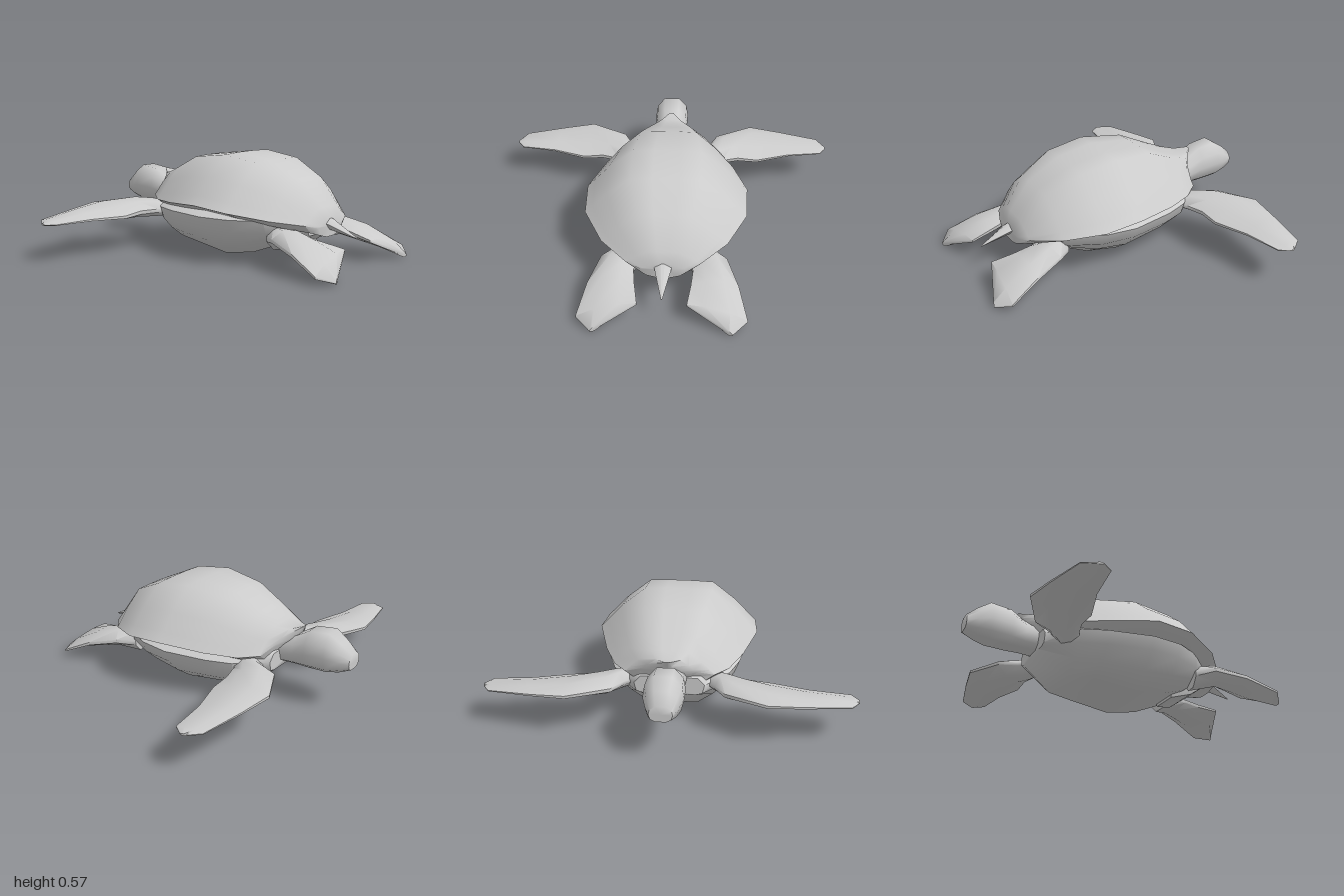
import * as THREE from 'three';
import { toCreasedNormals } from 'three/addons/utils/BufferGeometryUtils.js';

// Skin a list of equal-length rings of [x, y, z], cap both ends, face outwards
function loft(rings, crease = 0.9) {
  const n = rings[0].length, pos = rings.flat(2), tris = [];
  for (let i = 0; i < rings.length - 1; i++) {
    for (let j = 0; j < n; j++) {
      const k = (j + 1) % n, a = i * n, b = a + n;
      tris.push([a + j, a + k, b + j], [a + k, b + k, b + j]);
    }
  }
  [0, rings.length - 1].forEach((r, end) => {
    const c = pos.length / 3;
    for (let d = 0; d < 3; d++) pos.push(rings[r].reduce((s, p) => s + p[d], 0) / n);
    for (let j = 0; j < n; j++) {
      const p = r * n + j, q = r * n + (j + 1) % n;
      tris.push(end ? [c, p, q] : [c, q, p]);
    }
  });
  const at = (i) => new THREE.Vector3().fromArray(pos, i * 3);
  const volume = tris.reduce((s, [a, b, c]) => s + at(a).dot(at(b).cross(at(c))), 0);
  if (volume < 0) tris.forEach((t) => t.reverse());
  const geo = new THREE.BufferGeometry();
  geo.setAttribute('position', new THREE.Float32BufferAttribute(pos, 3));
  geo.setIndex(tris.flat());
  return toCreasedNormals(geo, crease);
}

// Mirror a half section of [z, y] points (top to bottom) into a full ring at x;
// lean shifts points in x in proportion to their height
function mirrorRing(x, half, lean = 0) {
  const y0 = half[0][1];
  const side = (s) => half.map(([z, y]) => [x + lean * (y0 - y), y, s * z]);
  return [...side(1), ...side(-1).reverse()];
}

// Flipper from stations [leadX, leadY, leadZ, trailX, trailY, trailZ, thickness]
function flipper(stations, s) {
  return loft(stations.map(([lx, ly, lz, tx, ty, tz, th]) => {
    const p = (t, h) => [lx + (tx - lx) * t, ly + (ty - ly) * t + h * th / 2, s * (lz + (tz - lz) * t)];
    return [p(0, 0.2), p(0.3, 1), p(0.7, 0.9), p(1, 0.2), p(1, -0.2), p(0.7, -0.9), p(0.3, -1), p(0, -0.2)];
  }), 1.0);
}

export function createModel() {
  const turtle = new THREE.Group();
  turtle.name = 'turtle';
  const material = new THREE.MeshStandardMaterial({ color: 0xcccccc, side: THREE.DoubleSide });
  const add = (name, geo) => {
    const mesh = new THREE.Mesh(geo, material);
    mesh.name = name;
    turtle.add(mesh);
  };

  // Domed shell: x, top height, rim height, rim half width
  const shell = [
    [-0.6, 0.43, 0.36, 0.03], [-0.54, 0.415, 0.325, 0.15], [-0.47, 0.43, 0.3, 0.24],
    [-0.37, 0.47, 0.29, 0.315], [-0.2, 0.548, 0.3, 0.39], [0.05, 0.578, 0.32, 0.465],
    [0.27, 0.545, 0.3, 0.455], [0.47, 0.45, 0.265, 0.345], [0.6, 0.31, 0.235, 0.2],
    [0.63, 0.25, 0.215, 0.12],
  ];
  add('shell', loft(shell.map(([x, top, rim, w]) => {
    const h = top - rim;
    return mirrorRing(x, [
      [w * 0.16, top], [w * 0.42, top - h * 0.02], [w * 0.72, rim + h * 0.54],
      [w * 0.9, rim + h * 0.19], [w, rim], [w * 0.75, rim - 0.045], [w * 0.3, rim - 0.06],
    ], x < -0.5 ? 0.5 : 0);
  }), 0.95));

  // Belly: x, bottom height, bottom half width, side half width
  const belly = [
    [-0.5, 0.19, 0.1, 0.19], [-0.34, 0.05, 0.14, 0.32], [-0.2, 0.045, 0.18, 0.37],
    [0.05, 0.01, 0.19, 0.415], [0.23, 0.035, 0.17, 0.39], [0.4, 0.1, 0.13, 0.3],
    [0.54, 0.2, 0.09, 0.19],
  ];
  add('belly', loft(belly.map(([x, y, b, w]) => mirrorRing(x, [
    [w * 0.8, 0.29], [w, 0.25], [w * 0.93, Math.max(0.18, y + 0.01)],
    [(b + w) / 2, y + (0.19 - y) * 0.45], [b, y],
  ]))));

  // Head and neck: x, bottom, top, half width
  const head = [
    [-0.9, 0.26, 0.345, 0.06], [-0.84, 0.235, 0.395, 0.085], [-0.77, 0.218, 0.44, 0.105],
    [-0.65, 0.212, 0.425, 0.102], [-0.57, 0.21, 0.375, 0.09], [-0.4, 0.2, 0.36, 0.1],
  ];
  add('head', loft(head.map(([x, b, t, w]) => mirrorRing(x, [
    [w * 0.45, t], [w * 0.9, t - (t - b) * 0.25], [w, b + (t - b) * 0.45], [w * 0.85, b + (t - b) * 0.14], [w * 0.45, b],
  ])), 1.1));

  // Hindquarters under the shell
  const hind = [[0.34, 0.06, 0.17, 0.1], [0.45, 0.085, 0.21, 0.145], [0.56, 0.16, 0.235, 0.12]];
  add('hindquarters', loft(hind.map(([x, b, t, w]) => mirrorRing(x, [[w * 0.8, t], [w, (t + b) / 2], [w * 0.85, b]]))));

  // Tail
  const tail = [[0.55, 0.2, 0.265, 0.055], [0.64, 0.19, 0.25, 0.045], [0.8, 0.158, 0.163, 0.003]];
  add('tail', loft(tail.map(([x, b, t, w]) => mirrorRing(x, [[w * 0.2, t], [w, t - (t - b) * 0.4], [w * 0.2, b]]))));

  // Flippers, one pair in front and one behind
  const front = [
    [-0.45, 0.235, 0.2, -0.33, 0.225, 0.26, 0.09],
    [-0.5, 0.24, 0.245, -0.36, 0.225, 0.33, 0.1],
    [-0.6, 0.25, 0.3, -0.39, 0.225, 0.43, 0.1],
    [-0.71, 0.258, 0.52, -0.39, 0.215, 0.55, 0.075],
    [-0.68, 0.245, 0.71, -0.452, 0.22, 0.75, 0.05],
    [-0.63, 0.23, 0.95, -0.48, 0.222, 0.96, 0.025],
    [-0.565, 0.222, 0.995, -0.535, 0.222, 1.0, 0.012],
  ];
  const rear = [
    [0.4, 0.15, 0.27, 0.43, 0.15, 0.1, 0.13],
    [0.49, 0.165, 0.345, 0.59, 0.165, 0.16, 0.1],
    [0.66, 0.125, 0.405, 0.68, 0.145, 0.15, 0.09],
    [0.83, 0.05, 0.45, 0.8, 0.125, 0.13, 0.055],
    [0.9, 0.02, 0.37, 0.88, 0.035, 0.32, 0.03],
  ];
  for (const [side, s] of [['Right', 1], ['Left', -1]]) {
    add(`frontFlipper${s > 0 ? 'A' : 'B'}`, flipper(front, s));
    add(`rearFlipper${s > 0 ? 'A' : 'B'}`, flipper(rear, s));
    turtle.children.slice(-2).forEach((m) => { m.name = m.name.replace(/[AB]$/, side === 'Right' ? 'Front' : 'Back'); });
  }
  return turtle;
}
